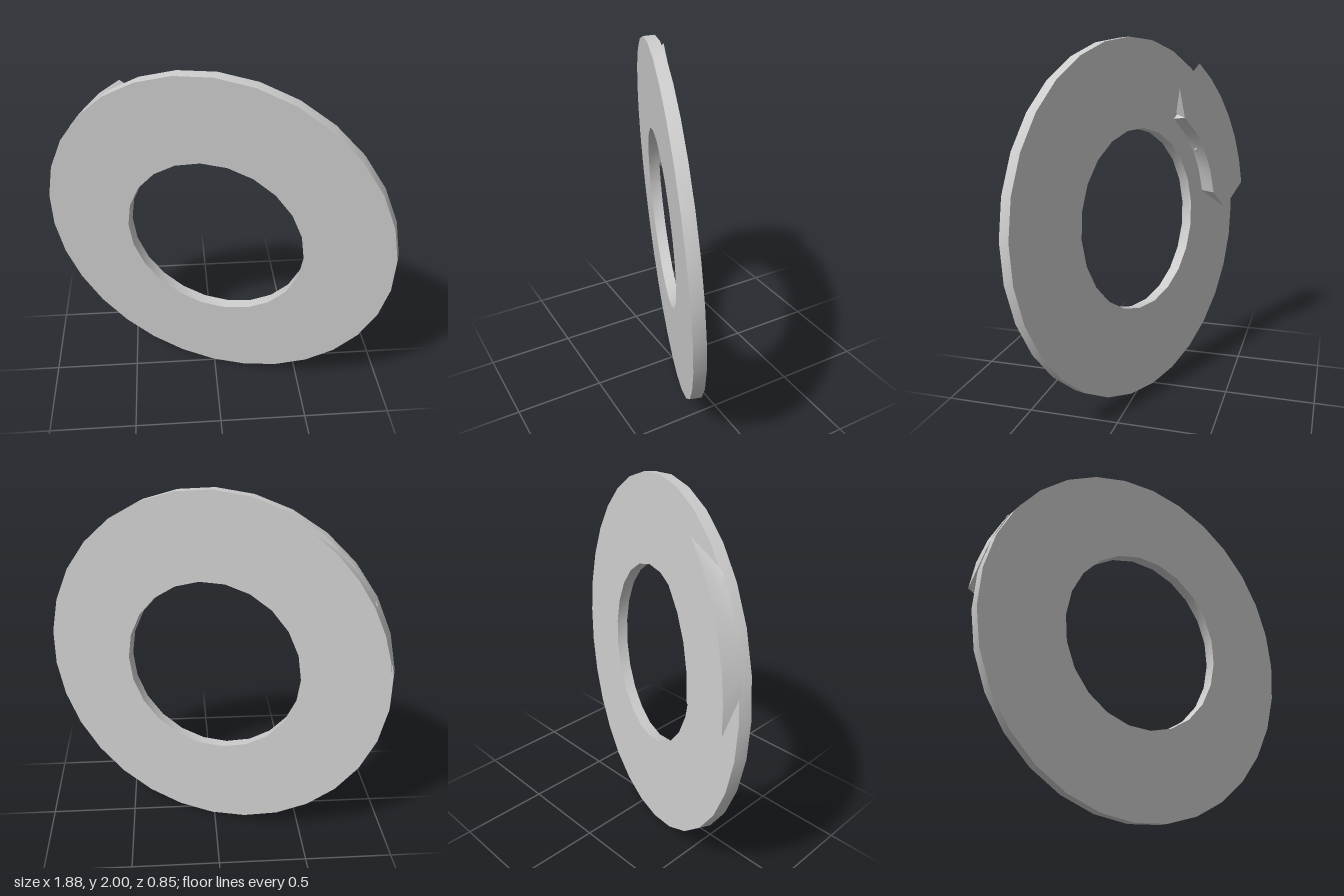
import * as THREE from 'three';
import { toCreasedNormals } from 'three/addons/utils/BufferGeometryUtils.js';

const DEG = Math.PI / 180;
const material = new THREE.MeshStandardMaterial({ color: 0xcccccc });

// points on an arc, angles in degrees
function arc(radius, from, to, steps) {
  const points = [];
  for (let i = 0; i <= steps; i++) {
    const a = (from + ((to - from) * i) / steps) * DEG;
    points.push(new THREE.Vector2(radius * Math.cos(a), radius * Math.sin(a)));
  }
  return points;
}

function addMesh(parent, geometry, name) {
  const mesh = new THREE.Mesh(geometry, material);
  mesh.name = name;
  parent.add(mesh);
  return mesh;
}

// flat ring with a 30-sided rim and a 22-sided hole
function discGeometry() {
  const thickness = 0.064;
  const shape = new THREE.Shape(arc(1, 90, 438, 29));
  const step = 360 / 22;
  shape.holes.push(new THREE.Path(arc(0.51, 0, 360 - step, 21)));
  const geometry = new THREE.ExtrudeGeometry(shape, { depth: thickness, bevelEnabled: false });
  geometry.translate(0, 0, -thickness / 2);
  return toCreasedNormals(geometry, 0.5);
}

// caliper outline: outer arc, straight end, inner arc, straight end
function caliperOutline(outerHalfAngle, innerHalfAngle, endHalfWidth) {
  return [
    ...arc(1, -outerHalfAngle, outerHalfAngle, 6),
    new THREE.Vector2(0.632, endHalfWidth),
    ...arc(0.645, innerHalfAngle, -innerHalfAngle, 4),
    new THREE.Vector2(0.632, -endHalfWidth),
  ];
}

// block lofted between a wide back outline and a narrow one sunk in the disc
function caliperGeometry() {
  const back = caliperOutline(27, 26, 0.45);
  const base = caliperOutline(16, 25, 0.275);
  const n = back.length;
  const positions = [], index = [];
  for (const p of back) positions.push(p.x, p.y, -0.116);
  for (const p of base) positions.push(p.x, p.y, -0.022);
  for (let i = 0; i < n; i++) {
    const j = (i + 1) % n;
    index.push(i, j, n + j, i, n + j, n + i);
  }
  for (const [a, b, c] of THREE.ShapeUtils.triangulateShape(back, [])) index.push(a, c, b);
  for (const [a, b, c] of THREE.ShapeUtils.triangulateShape(base, [])) index.push(n + a, n + b, n + c);
  const geometry = new THREE.BufferGeometry();
  geometry.setAttribute('position', new THREE.Float32BufferAttribute(positions, 3));
  geometry.setIndex(index);
  return toCreasedNormals(geometry, 0.5);
}

export function createModel() {
  const model = new THREE.Group();
  model.name = 'brakeDisc';

  // whole assembly is turned sideways, leans forward and rolls slightly
  const assembly = new THREE.Group();
  assembly.name = 'discAssembly';
  assembly.position.set(0, 1, 0.033);
  assembly.rotation.set(3.8 * DEG, -21 * DEG, -1.2 * DEG, 'YXZ');
  model.add(assembly);

  addMesh(assembly, discGeometry(), 'disc');

  // caliper sits on the back, up and to one side
  const caliper = new THREE.Group();
  caliper.name = 'caliper';
  caliper.rotation.z = 150.5 * DEG;
  assembly.add(caliper);
  addMesh(caliper, caliperGeometry(), 'caliperBody');

  // small radial pin showing at both walls
  const pin = addMesh(caliper, new THREE.BoxGeometry(0.37, 0.018, 0.018), 'caliperPin');
  pin.position.set(0.82, 0, -0.058);

  return model;
}
